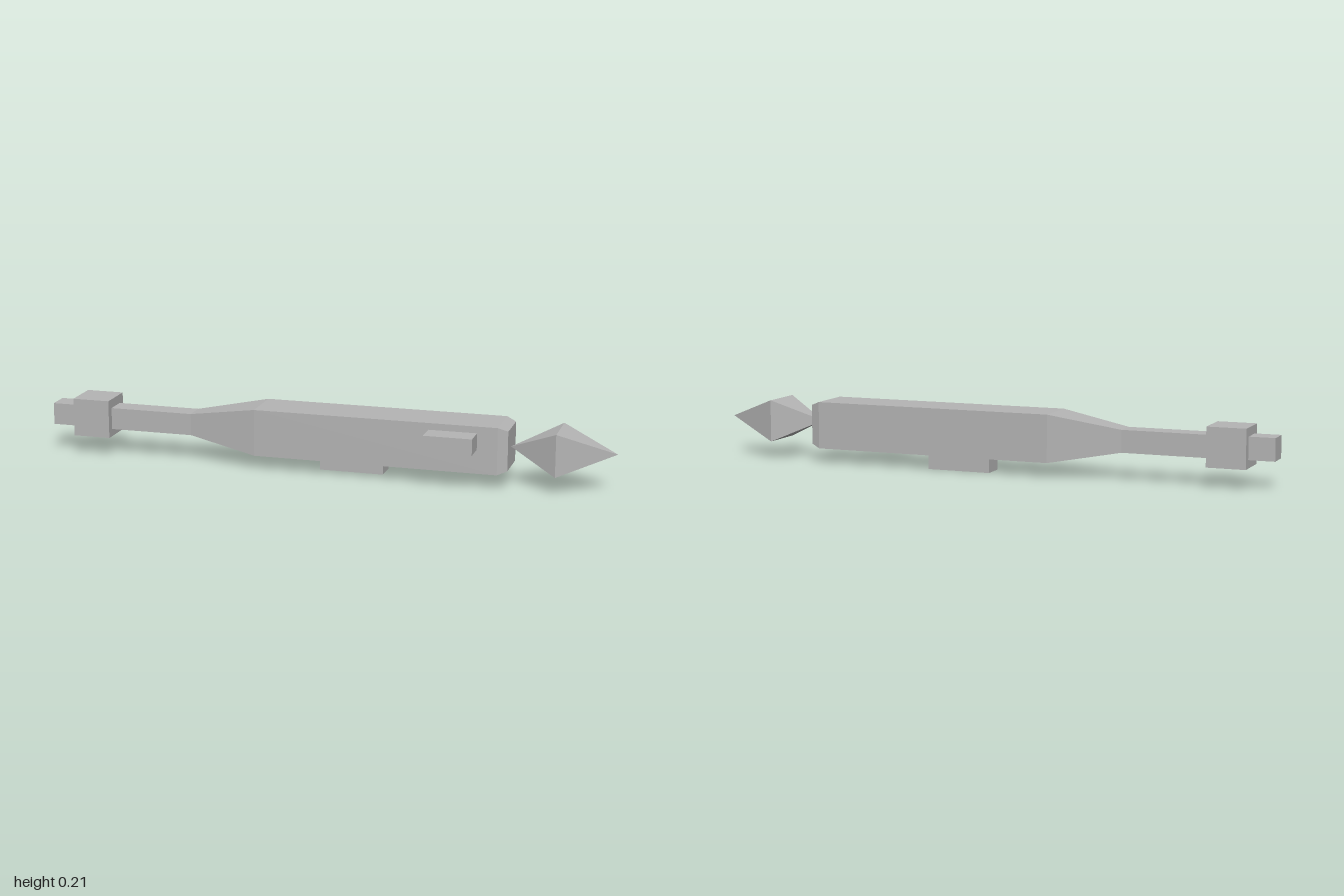
import * as THREE from 'three';

const grey = new THREE.MeshStandardMaterial({ color: 0xb4b4b4 });

// Square-section loft along x; each section is [x, halfHeight, halfWidth]
function loft(sections, cy, cz) {
  const rings = sections.map(([x, h, w]) =>
    [[-1, 1], [-1, -1], [1, -1], [1, 1]].map(([sy, sz]) => new THREE.Vector3(x, cy + sy * h, cz + sz * w)));
  const pos = [];
  const tri = (a, b, c) => {
    const area = new THREE.Triangle(a, b, c).getArea();
    if (area > 1e-9) for (const p of [a, b, c]) pos.push(p.x, p.y, p.z);
  };
  const quad = (a, b, c, d) => { tri(a, b, c); tri(a, c, d); };
  for (let i = 0; i < rings.length - 1; i++) {
    const r = rings[i], s = rings[i + 1];
    for (let k = 0; k < 4; k++) {
      const n = (k + 1) % 4;
      quad(r[k], r[n], s[n], s[k]);
    }
  }
  quad(...[...rings[0]].reverse());
  quad(...rings[rings.length - 1]);
  const geo = new THREE.BufferGeometry();
  geo.setAttribute('position', new THREE.Float32BufferAttribute(pos, 3));
  geo.computeVertexNormals();
  return geo;
}

// Box given by its lower and upper corners
function box(x0, x1, y0, y1, z0, z1) {
  return new THREE.BoxGeometry(x1 - x0, y1 - y0, z1 - z0)
    .translate((x0 + x1) / 2, (y0 + y1) / 2, (z0 + z1) / 2);
}

export function createModel() {
  const group = new THREE.Group();
  const add = (name, geo) => {
    const mesh = new THREE.Mesh(geo, grey);
    mesh.name = name;
    group.add(mesh);
  };

  // Shaft widening into the body, with a chamfered front end
  add('body', loft([
    [-0.8, 0.038, 0.038],
    [-0.485, 0.038, 0.038],
    [-0.24, 0.081, 0.081],
    [0.604, 0.081, 0.081],
    [0.637, 0.068, 0.068],
  ], 0.131, -0.039));

  // Pointed tip: two four-sided pyramids
  add('tip', loft([
    [0.637, 0, 0],
    [0.8, 0.073, 0.081],
    [0.993, 0, 0],
  ], 0.134, -0.026));

  // Tail collar and end stub
  add('collar', box(-0.912, -0.78, 0.067, 0.2, -0.107, 0.026));
  add('endStub', box(-1, -0.9, 0.095, 0.171, -0.079, -0.002));

  // Side button and lower block
  add('sideButton', box(0.37, 0.535, 0.133, 0.189, 0.03, 0.121));
  add('lowerBlock', box(-0.025, 0.198, 0, 0.06, -0.1, -0.025));

  return group;
}
